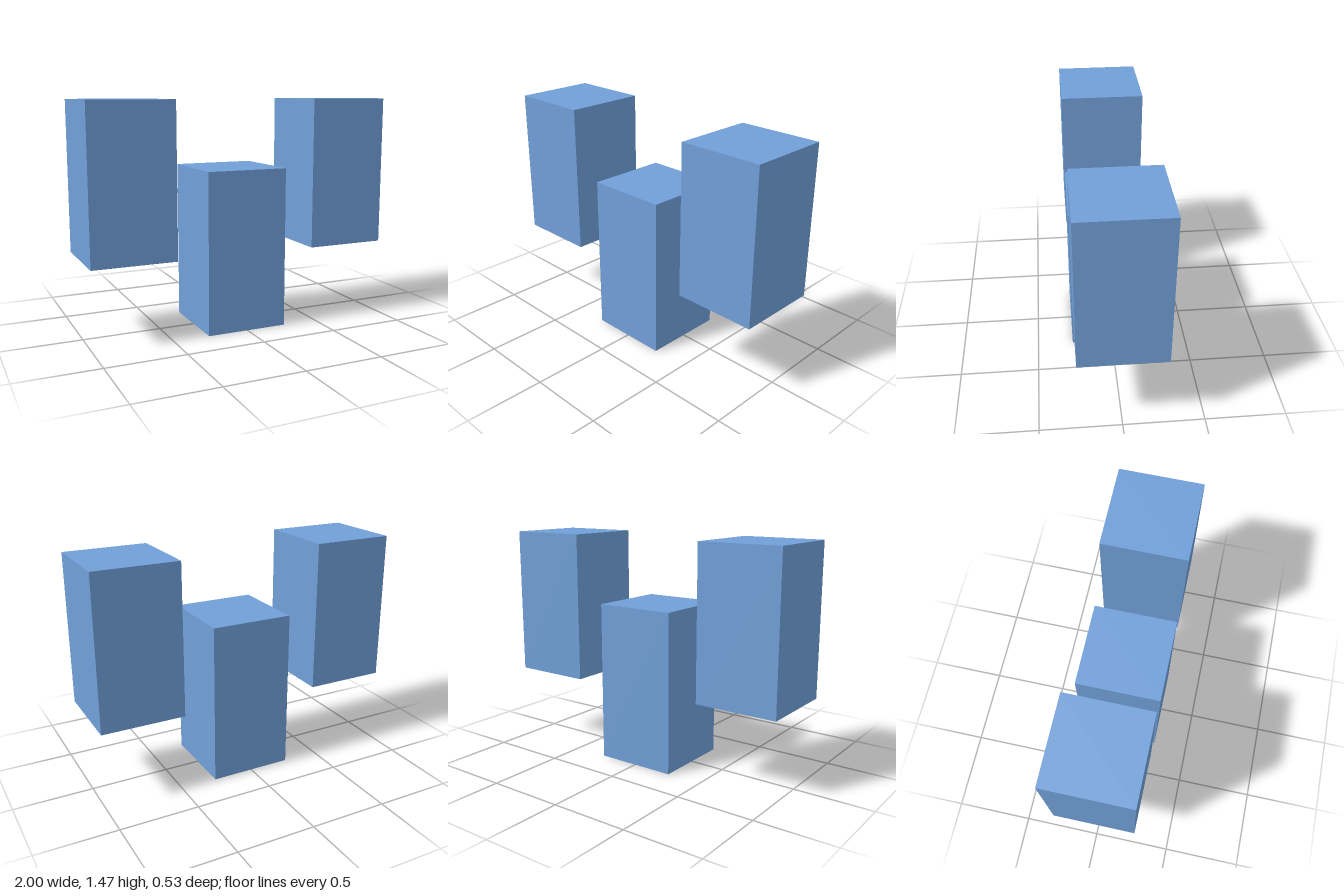
import * as THREE from 'three';

const SIDE = 0.533; // square footprint shared by all blocks
const SPACING = 0.7335; // distance between block centres

export function createModel() {
  const group = new THREE.Group();
  group.name = 'threeBlocks';
  const material = new THREE.MeshStandardMaterial({ color: 0x709fd8 });

  // Upright block spanning bottom to top at a given x
  const addBlock = (name, x, bottom, top) => {
    const height = top - bottom;
    const block = new THREE.Mesh(new THREE.BoxGeometry(SIDE, height, SIDE), material);
    block.name = name;
    block.position.set(x, bottom + height / 2, 0);
    group.add(block);
  };

  // Standing centre block and the two raised side blocks
  addBlock('centreBlock', 0, 0, 1.033);
  for (const [name, side] of [['leftBlock', 1], ['rightBlock', -1]]) {
    addBlock(name, side * SPACING, 0.5, 1.467);
  }

  return group;
}
